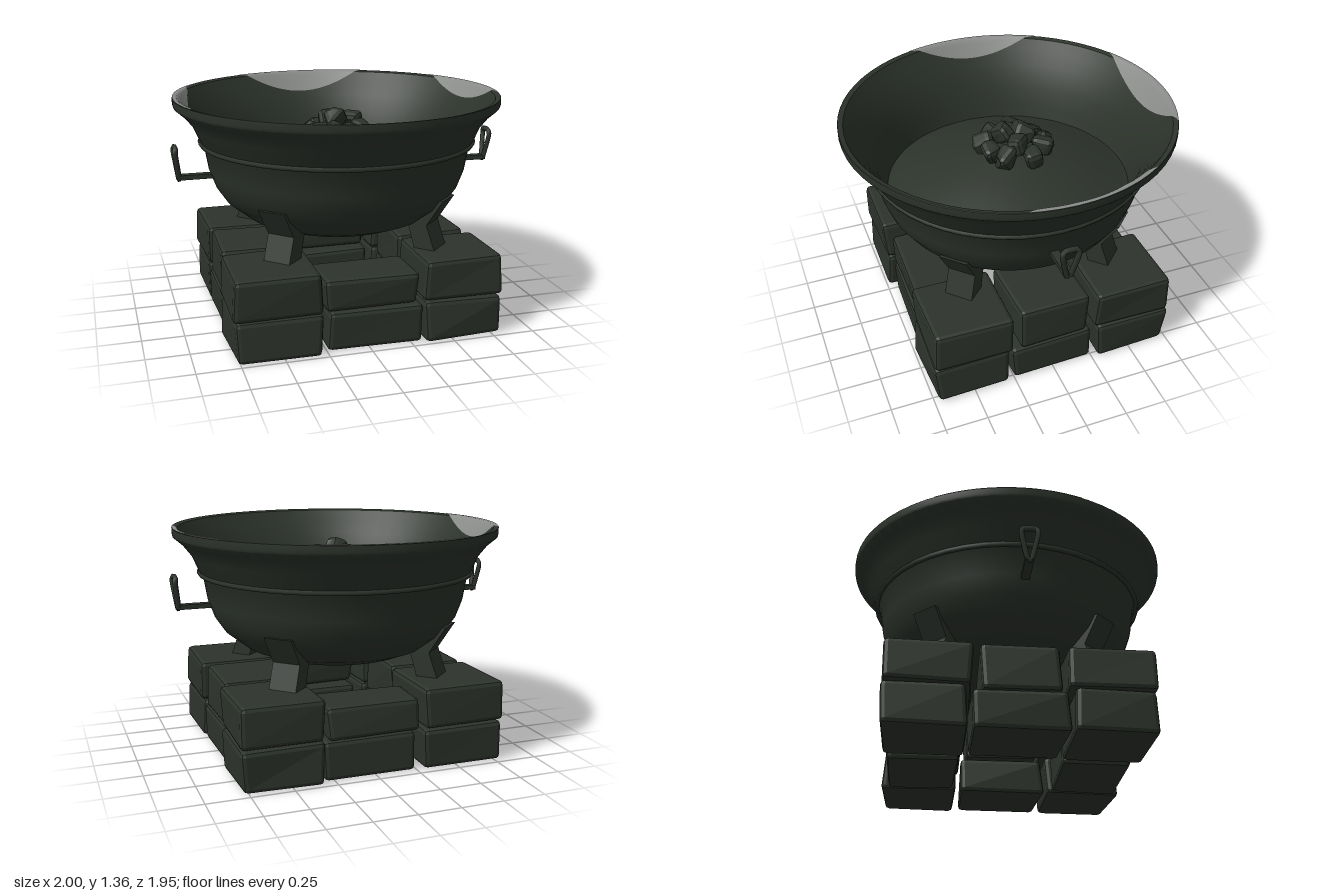
import * as THREE from 'three';
import { toCreasedNormals } from 'three/addons/utils/BufferGeometryUtils.js';
import { RoundedBoxGeometry } from 'three/addons/geometries/RoundedBoxGeometry.js';

// Repeatable noise in -1..1
function hash(n) {
  const s = Math.sin(n * 127.1 + 3.7) * 43758.5453;
  return (s - Math.floor(s)) * 2 - 1;
}

// Flat facets on any geometry
function faceted(geometry) {
  const g = geometry.index ? geometry.toNonIndexed() : geometry;
  g.computeVertexNormals();
  return g;
}

// Inner wall of the basin as [radius, height], rim to floor
const INNER = [[0.974, 1.357], [0.945, 1.349], [0.9, 1.283], [0.845, 1.2], [0.785, 1.08], [0.75, 0.96], [0.725, 0.87]];

function wallHeight(r) {
  for (let i = 0; i < INNER.length - 1; i++) {
    const [r0, y0] = INNER[i], [r1, y1] = INNER[i + 1];
    if (r >= r1) return y1 + (y0 - y1) * (r - r1) / (r0 - r1);
  }
  return INNER[INNER.length - 1][1];
}

// Worn block: rounded box with each corner pushed in by its own amount
function wornBlock(w, h, d, radius, wear, seed) {
  const g = new RoundedBoxGeometry(w, h, d, 1, radius);
  const p = g.attributes.position;
  for (let i = 0; i < p.count; i++) {
    const x = p.getX(i), y = p.getY(i), z = p.getZ(i);
    const corner = (x > 0 ? 1 : 0) + (y > 0 ? 2 : 0) + (z > 0 ? 4 : 0) + seed * 8;
    p.setXYZ(i,
      x - Math.sign(x) * wear * (1 + hash(corner)),
      y - Math.sign(y) * wear * 0.25 * (1 + hash(corner + 0.3)),
      z - Math.sign(z) * wear * (1 + hash(corner + 0.6)));
  }
  return g;
}

// Pale patch on the inner wall, cut off by a chord at distance d
function patchGeometry(angle, d) {
  const R = 0.974, half = Math.acos(d / R), cols = 28, rows = 8;
  const pos = [], idx = [];
  for (let i = 0; i <= cols; i++) {
    const a = -half + 2 * half * i / cols;
    const inner = Math.min(R, d / Math.cos(a));
    for (let j = 0; j <= rows; j++) {
      const r = inner + (R - inner) * j / rows;
      pos.push(Math.cos(angle + a) * r, Math.min(wallHeight(r) + 0.007, 1.359), Math.sin(angle + a) * r);
      if (i < cols && j < rows) {
        const k = i * (rows + 1) + j, m = k + rows + 1;
        idx.push(k, k + 1, m, m, k + 1, m + 1);
      }
    }
  }
  const g = new THREE.BufferGeometry();
  g.setAttribute('position', new THREE.Float32BufferAttribute(pos, 3));
  g.setIndex(idx);
  // Same facing upward and inward as the wall beneath
  for (let i = 0; i < idx.length; i += 3) [idx[i + 1], idx[i + 2]] = [idx[i + 2], idx[i + 1]];
  g.setIndex(idx.reverse());
  g.computeVertexNormals();
  return g;
}

export function createModel() {
  const model = new THREE.Group();
  model.name = 'fireBasin';

  const dark = new THREE.MeshStandardMaterial({ color: 0x2d342c });
  dark.name = 'darkStoneAndIron';
  const pale = new THREE.MeshStandardMaterial({ color: 0x8a8c8a, side: THREE.DoubleSide });
  pale.name = 'paleWear';

  const add = (name, geometry, material = dark, parent = model) => {
    const mesh = new THREE.Mesh(geometry, material);
    mesh.name = name;
    parent.add(mesh);
    return mesh;
  };

  // Basin: outer wall, rim and inner wall in one profile
  const outer = [[0, 0.57], [0.3, 0.573], [0.45, 0.592], [0.56, 0.637], [0.685, 0.735], [0.742, 0.82], [0.778, 0.92],
    [0.803, 1.07], [0.828, 1.1], [0.865, 1.19], [0.92, 1.26], [0.972, 1.305], [0.976, 1.32], [0.976, 1.355]];
  const profile = [...outer, ...INNER].map(([r, y]) => new THREE.Vector2(r, y));
  add('basin', toCreasedNormals(new THREE.LatheGeometry(profile, 64), 0.6));

  // Raised band around the basin
  const band = new THREE.TorusGeometry(0.822, 0.015, 6, 48);
  band.rotateX(Math.PI / 2).translate(0, 1.085, 0);
  add('band', band);

  // Heaped ash bed inside
  const bed = [[0.74, 0.88], [0.7, 0.89], [0.55, 0.96], [0.3, 1.05], [0, 1.11]].map(([r, y]) => new THREE.Vector2(r, y));
  add('ashBed', new THREE.LatheGeometry(bed, 24));

  // Pale wear on the inside of the rim
  [[-Math.PI / 2, 0.862], [Math.PI + 0.094, 0.877], [-0.163, 0.885]].forEach(([a, d]) =>
    add('rimWear', patchGeometry(a, d), pale));

  // Coals heaped in the middle
  const coals = new THREE.Group();
  coals.name = 'coals';
  model.add(coals);
  const spots = [[0, -0.23], [-0.09, -0.18], [0.06, -0.2], [0.16, -0.1], [-0.23, -0.08], [-0.15, -0.05],
    [-0.13, 0.05], [0.13, 0.06], [-0.06, 0.13], [0.05, 0.12], [0.1, -0.02], [-0.02, -0.1], [-0.02, 0.02]];
  spots.forEach(([x, z], i) => {
    const g = wornBlock(0.15, 0.12, 0.13, 0.032, 0.014, i + 60);
    g.rotateX(0.6 * hash(i)).rotateZ(0.6 * hash(i + 20)).rotateY(i * 2.1);
    g.translate(x, 1.18 - 0.35 * Math.hypot(x, z) + (i > 9 ? 0.035 : 0), z);
    add('coal', faceted(g), dark, coals);
  });

  // Legs: bent struts hugging the basin, one per corner
  const strut = new THREE.Shape([[0.71, 0.46], [0.645, 0.64], [0.745, 0.8], [0.68, 0.8], [0.52, 0.66], [0.58, 0.46]]
    .map(([r, y]) => new THREE.Vector2(r, y)));
  const legGeometry = new THREE.ExtrudeGeometry(strut, { depth: 0.17, bevelEnabled: false });
  legGeometry.translate(0, 0, -0.085);
  for (let k = 0; k < 4; k++) add('leg', legGeometry).rotation.y = Math.PI / 4 + k * Math.PI / 2;

  // Handles: a bar out of the wall with an upright triangular loop
  for (const side of [1, -1]) {
    const handle = new THREE.Group();
    handle.name = side > 0 ? 'leftHandle' : 'rightHandle';
    handle.position.z = 0.025;
    model.add(handle);
    const bar = new THREE.BoxGeometry(0.21, 0.028, 0.05);
    bar.translate(side * 0.87, 0.906, 0);
    add('handleBar', bar, dark, handle);
    const corners = [[0.965, 0.905, 0.012], [0.984, 1.05, 0.046], [0.981, 1.083, 0.034],
      [0.981, 1.083, -0.034], [0.984, 1.05, -0.046], [0.965, 0.905, -0.012]];
    const path = new THREE.CatmullRomCurve3(corners.map(([x, y, z]) => new THREE.Vector3(side * x, y, z)), true, 'catmullrom', 0.3);
    add('handleLoop', new THREE.TubeGeometry(path, 30, 0.016, 6, true), dark, handle);
  }

  // Base: two courses of corner bricks and of bricks between them, as limits on x, y and z
  const base = new THREE.Group();
  base.name = 'brickBase';
  model.add(base);
  const bricks = [];
  for (const z of [1, -1]) {
    const span = (a, b) => (z > 0 ? [a, b] : [-b, -a]);
    for (const [y0, y1, inner] of [[0, 0.25, 0.27], [0.246, 0.495, 0.24]]) {
      bricks.push([-0.79, -0.27, y0, y1, ...span(inner, 0.745)], [0.308, 0.802, y0, y1, ...span(inner, 0.745)]);
    }
    bricks.push([-0.258, 0.318, 0, 0.238, ...span(0.29, 0.715)], [-0.275, 0.302, 0.236, 0.428, ...span(0.36, 0.715)]);
  }
  for (const [x0, x1] of [[0.32, 0.785], [-0.775, -0.29]]) {
    bricks.push([x0, x1, 0, 0.227, -0.265, 0.275], [x0, x1, 0.222, 0.495, -0.225, 0.23]);
  }
  bricks.forEach(([x0, x1, y0, y1, z0, z1], i) => {
    const g = wornBlock(x1 - x0, y1 - y0, z1 - z0, 0.026, 0.012, i + 1);
    g.translate((x0 + x1) / 2, (y0 + y1) / 2, (z0 + z1) / 2);
    add('brick', faceted(g), dark, base);
  });

  return model;
}
